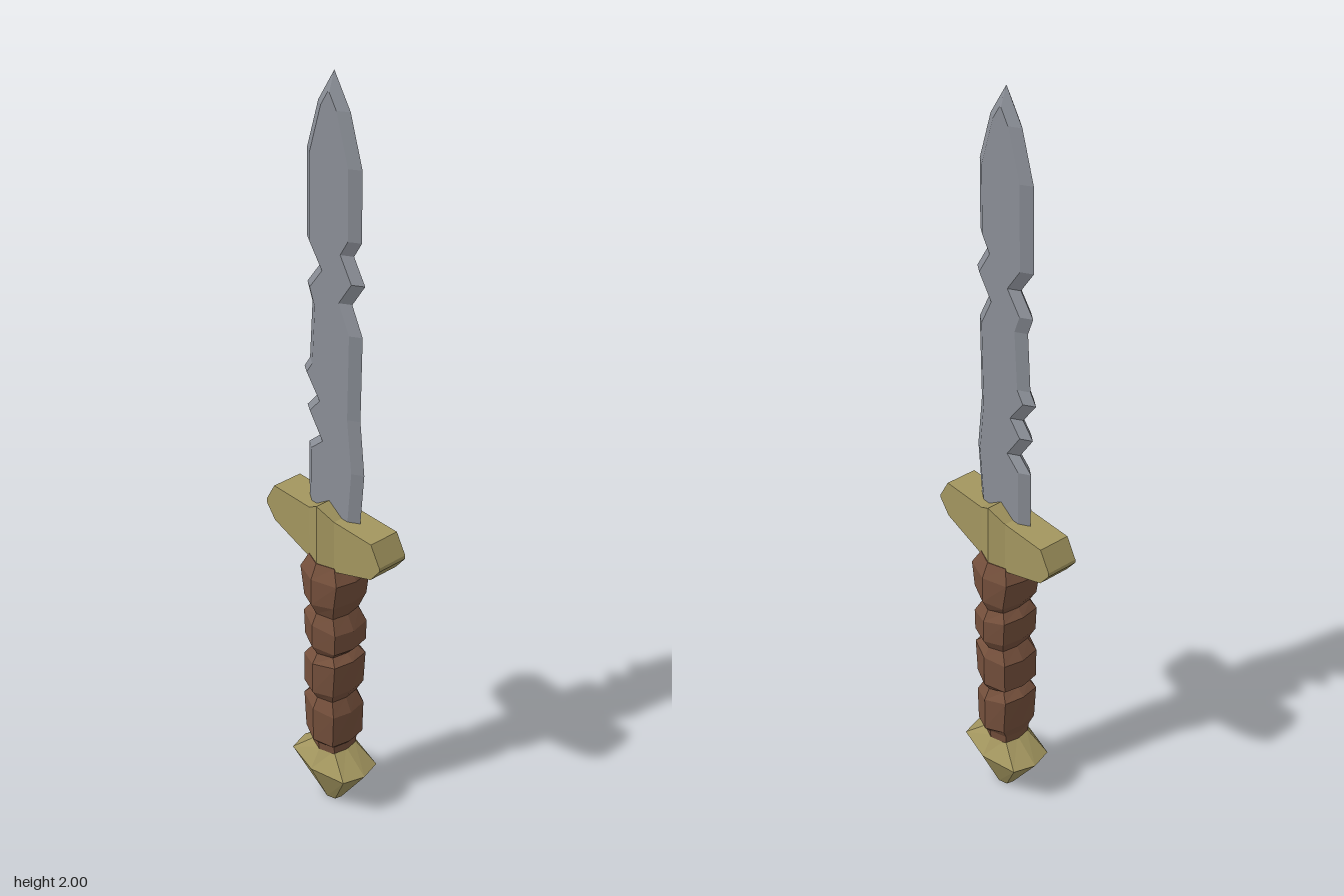
import * as THREE from 'three';

// Skin a list of closed rings (counter-clockwise seen from the last ring), with end caps
function loft(name, color, rings) {
  const n = rings[0].length;
  const index = [];
  rings.slice(1).forEach((_, r) => {
    for (let i = 0; i < n; i++) {
      const a = r * n + i, b = r * n + (i + 1) % n;
      index.push(a, b, b + n, a, b + n, a + n);
    }
  });
  const last = (rings.length - 1) * n;
  for (let i = 1; i < n - 1; i++) index.push(0, i + 1, i, last, last + i, last + i + 1);
  const geometry = new THREE.BufferGeometry();
  geometry.setAttribute('position', new THREE.Float32BufferAttribute(rings.flat(2), 3));
  geometry.setIndex(index);
  const flat = geometry.toNonIndexed();
  flat.computeVertexNormals();
  const mesh = new THREE.Mesh(flat, new THREE.MeshStandardMaterial({ color, flatShading: true }));
  mesh.name = name;
  return mesh;
}

// Eight-sided ring, pointed towards front and back; tilt leans it sideways
function octagon(y, left, right, z, tilt = 0) {
  const unit = [[0, 1], [0.85, 0.71], [1, 0], [0.85, -0.71], [0, -1], [-0.85, -0.71], [-1, 0], [-0.85, 0.71]];
  return unit.map(([u, w]) => {
    const x = u * (u < 0 ? left : right);
    return [x, y + x * tilt, w * z];
  });
}

// x of an edge polyline of [x, y] points at height y
function edgeAt(points, y) {
  for (let i = 1; i < points.length; i++) {
    const [x0, y0] = points[i - 1], [x1, y1] = points[i];
    if (y <= y1) return x0 + (x1 - x0) * (y - y0) / (y1 - y0);
  }
  return points[points.length - 1][0];
}

function createBlade() {
  // Chipped cutting edges, from the guard up to the tip
  const leftEdge = [[-0.09, 0.87], [-0.09, 1.05], [-0.05, 1.085], [-0.095, 1.15], [-0.06, 1.19],
    [-0.105, 1.25], [-0.085, 1.28], [-0.075, 1.43], [-0.092, 1.475], [-0.05, 1.53], [-0.093, 1.59],
    [-0.09, 1.8], [-0.052, 1.92], [0, 2]];
  const rightEdge = [[0.09, 0.87], [0.105, 1.04], [0.09, 1.18], [0.095, 1.4], [0.06, 1.47],
    [0.102, 1.53], [0.065, 1.59], [0.09, 1.63], [0.09, 1.8], [0.052, 1.92], [0, 2]];
  const heights = [...new Set([...leftEdge, ...rightEdge].map(p => p[1]).concat(1.955))].sort((a, b) => a - b);
  const rings = heights.map(y => {
    const l = edgeAt(leftEdge, y), r = edgeAt(rightEdge, y);
    const inset = Math.min(0.027, (r - l) / 2);
    const t = y === 2 ? 0 : 0.017;
    const a = l + inset, b = r - inset;
    return [[a, y, t], [b, y, t], [r, y, 0], [b, y, -t], [a, y, -t], [l, y, 0]];
  });
  return loft('blade', 0x8a8e96, rings);
}

function createGuard() {
  // Half of the crossguard: x, bottom, top, half depth
  const half = [[0.205, 0.838, 0.848, 0.042], [0.175, 0.8, 0.9, 0.042], [0.045, 0.755, 0.9, 0.042]];
  const sections = [
    ...half.map(([x, ...rest]) => [-x, ...rest]),
    [0, 0.755, 0.93, 0.058],
    ...half.slice().reverse(),
  ];
  return loft('crossguard', 0xa3965f, sections.map(([x, b, t, z]) =>
    [[x, b, -z], [x, t, -z], [x, t, z], [x, b, z]]));
}

function createGrip() {
  // Wrapped bulges and grooves: y, left, right, half depth, tilt
  const sections = [
    [0.16, 0.05, 0.05, 0.052, 0], [0.2, 0.052, 0.05, 0.055, 0],
    [0.22, 0.06, 0.06, 0.073, -0.15], [0.32, 0.068, 0.064, 0.073, -0.2],
    [0.35, 0.045, 0.045, 0.058, -0.1],
    [0.375, 0.066, 0.062, 0.074, 0.05], [0.465, 0.066, 0.07, 0.074, 0.12],
    [0.49, 0.042, 0.048, 0.058, 0],
    [0.52, 0.06, 0.07, 0.075, -0.1], [0.585, 0.064, 0.072, 0.075, -0.2],
    [0.615, 0.046, 0.05, 0.06, -0.1],
    [0.65, 0.06, 0.068, 0.077, 0.1], [0.725, 0.076, 0.08, 0.077, 0],
    [0.765, 0.055, 0.055, 0.06, 0],
  ];
  return loft('grip', 0x75503c, sections.map(s => octagon(...s)));
}

function createPommel() {
  const sections = [[0, 0.028, 0.028, 0.026], [0.125, 0.117, 0.117, 0.082], [0.182, 0.045, 0.045, 0.05]];
  return loft('pommel', 0xa3965f, sections.map(s => octagon(...s)));
}

export function createModel() {
  const group = new THREE.Group();
  group.name = 'dagger';
  group.add(createBlade(), createGuard(), createGrip(), createPommel());
  return group;
}
